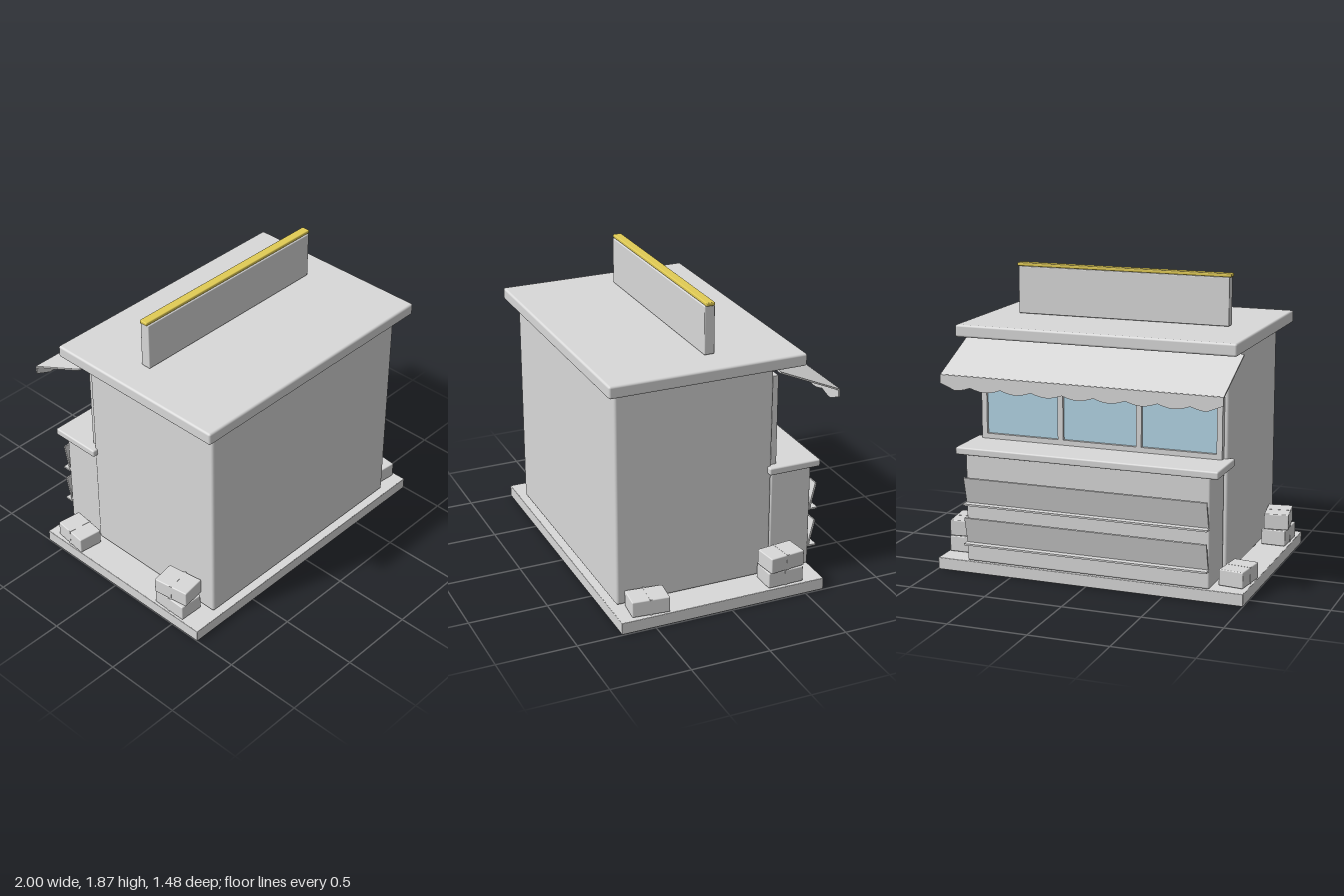
import * as THREE from 'three';
import { RoundedBoxGeometry } from 'three/addons/geometries/RoundedBoxGeometry.js';

export function createModel() {
  const mat = (name, color) => {
    const m = new THREE.MeshStandardMaterial({ color });
    m.name = name;
    return m;
  };
  const grey = mat('lightGrey', 0xd9d9d9);
  const gold = mat('gold', 0xe2cc55);
  const blue = mat('glassBlue', 0xb4d6e6);

  const model = new THREE.Group();
  model.name = 'kiosk';

  const addGroup = (name, parent = model) => {
    const group = new THREE.Group();
    group.name = name;
    parent.add(group);
    return group;
  };
  const add = (name, geometry, material, parent = model) => {
    const mesh = new THREE.Mesh(geometry, material);
    mesh.name = name;
    parent.add(mesh);
    return mesh;
  };
  // Box given by its limits on each axis, with an optional rounded edge
  const box = (name, [x0, x1], [y0, y1], [z0, z1], material = grey, radius = 0, parent = model) => {
    const size = [x1 - x0, y1 - y0, z1 - z0];
    const geometry = radius
      ? new RoundedBoxGeometry(...size, 2, radius)
      : new THREE.BoxGeometry(...size);
    const mesh = add(name, geometry, material, parent);
    mesh.position.set((x0 + x1) / 2, (y0 + y1) / 2, (z0 + z1) / 2);
    return mesh;
  };

  // Base: a thin deck with a rim, hollow underneath
  const base = addGroup('base');
  const [bx, by, bz] = [[-1, 0.995], [0, 0.076], [-0.625, 0.715]];
  const rim = 0.01;
  box('deck', [bx[0] + 0.003, bx[1] - 0.003], [0.068, 0.076], [bz[0] + 0.003, bz[1] - 0.003], grey, 0, base);
  box('rightRim', [bx[0], bx[0] + rim], by, bz, grey, 0.004, base);
  box('leftRim', [bx[1] - rim, bx[1]], by, bz, grey, 0.004, base);
  box('backRim', bx, by, [bz[0], bz[0] + rim], grey, 0.004, base);
  box('frontRim', bx, by, [bz[1] - rim, bz[1]], grey, 0.004, base);

  // Main building
  box('body', [-0.813, 0.807], [0.085, 1.47], [-0.343, 0.673], grey, 0.018);
  box('roof', [-0.905, 0.902], [1.469, 1.547], [-0.51, 0.74], grey, 0.014);
  box('signBoard', [-0.7, 0.694], [1.551, 1.852], [-0.008, 0.058], grey, 0.006);
  box('signCap', [-0.71, 0.704], [1.852, 1.874], [-0.004, 0.052], gold, 0.006);

  // Serving counter
  box('counter', [-0.79, 0.79], [0.08, 0.772], [-0.622, -0.35], grey, 0.012);
  box('counterTop', [-0.848, 0.844], [0.766, 0.813], [-0.657, -0.315], grey, 0.01);

  // Display racks: a narrow ledge with a panel leaning outward
  for (const y of [0.2, 0.456]) {
    box('rackLedge', [-0.79, 0.79], [y - 0.006, y + 0.005], [-0.677, -0.62]);
    const panel = box('rackPanel', [-0.785, 0.785], [y, y + 0.172], [-0.651, -0.639]);
    panel.rotation.x = -0.24;
  }

  // Three-pane window
  const frame = addGroup('windowFrame');
  const frameZ = [-0.382, -0.335];
  box('topRail', [-0.785, 0.789], [1.355, 1.388], frameZ, grey, 0, frame);
  box('bottomRail', [-0.785, 0.789], [0.81, 0.845], frameZ, grey, 0, frame);
  for (let i = 0; i < 4; i++) {
    const x = -0.7675 + i * 0.513;
    box('mullion', [x - 0.0175, x + 0.0175], [0.84, 1.36], frameZ, grey, 0, frame);
    if (i < 3) box('glass', [x + 0.015, x + 0.498], [0.84, 1.36], [-0.362, -0.355], blue, 0, frame);
  }

  // Sloping awning sheet
  const awning = box('awning', [-0.9, 0.893], [1.359, 1.369], [-0.752, -0.322]);
  awning.position.z = -0.537;
  awning.rotation.x = -Math.atan2(0.175, 0.395);

  // Wavy valance along the awning's outer edge, shorter at both ends
  const waves = 9;
  const steps = 6;
  const valance = new THREE.Shape();
  valance.moveTo(0.893, 1.28);
  valance.lineTo(-0.9, 1.28);
  valance.lineTo(-0.9, 1.228);
  for (let i = steps / 2; i <= (waves - 0.5) * steps; i++) {
    const t = i / (waves * steps);
    const dip = Math.abs(Math.sin(t * waves * Math.PI));
    valance.lineTo(-0.9 + 1.793 * t, 1.21 - 0.022 * dip);
  }
  valance.lineTo(0.893, 1.228);
  valance.closePath();
  add('valance', new THREE.ExtrudeGeometry(valance, { depth: 0.01, bevelEnabled: false }), grey)
    .position.z = -0.742;

  // Cartons, each with a strap around the middle
  const carton = (x, y, z, turn) => {
    const group = addGroup('carton');
    group.position.set(x, y, z);
    group.rotation.y = turn;
    box('cartonBox', [-0.079, 0.079], [0, 0.102], [-0.118, 0.118], grey, 0.007, group);
    box('cartonStrap', [-0.08, 0.08], [-0.001, 0.103], [-0.007, 0.007], grey, 0, group);
  };
  carton(0.902, 0.08, -0.37, 0.02);
  carton(0.908, 0.185, -0.37, 0.12);
  carton(0.9, 0.08, 0.513, -0.1);
  carton(-0.91, 0.08, 0.465, -0.02);
  carton(-0.908, 0.185, 0.465, 0.15);
  carton(-0.91, 0.08, -0.42, -0.12);

  return model;
}
